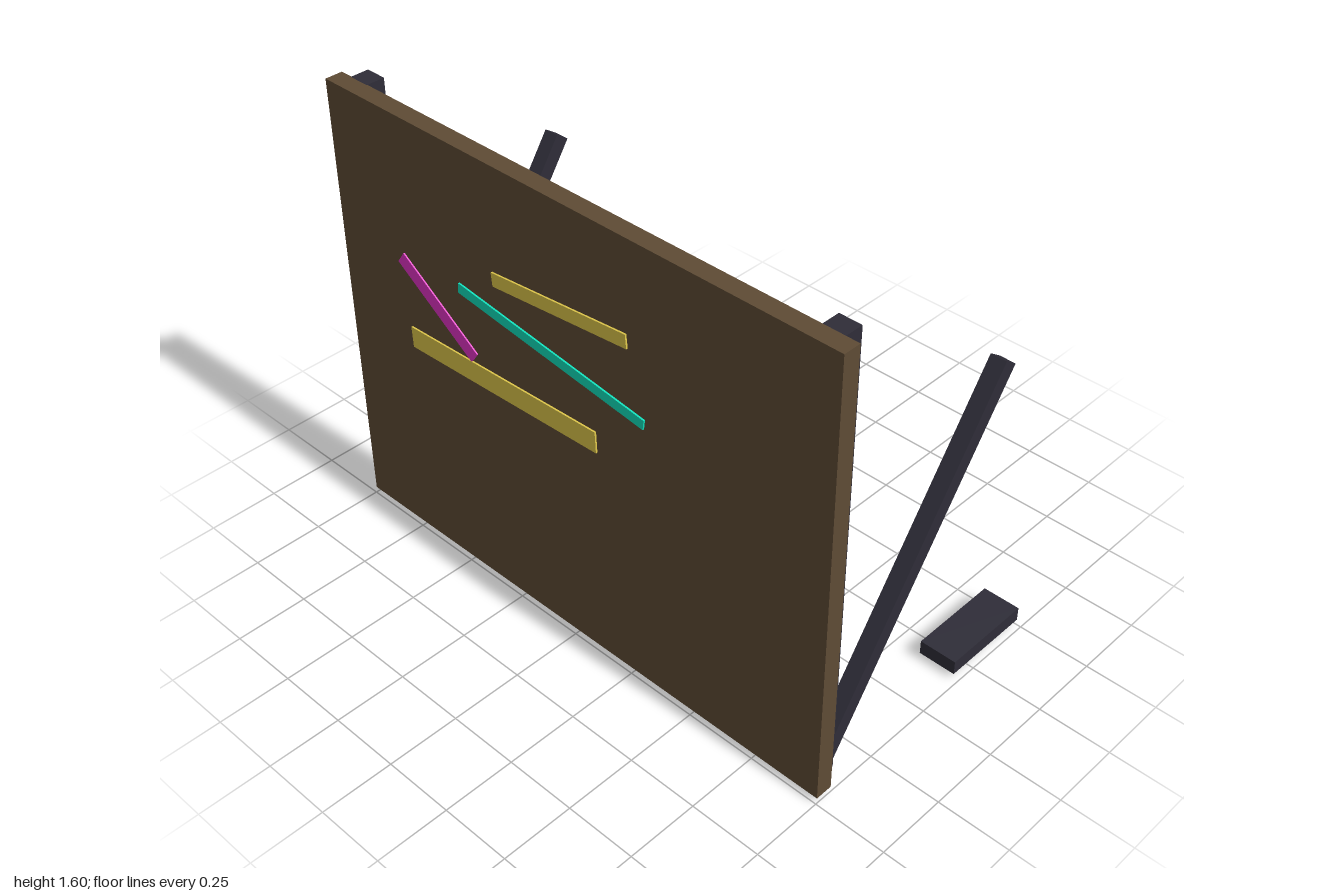
import * as THREE from 'three';

export function createModel() {
  const model = new THREE.Group();
  const mat = (color) => new THREE.MeshStandardMaterial({ color, flatShading: true });
  const wood = mat(0x5e4b35), metal = mat(0x2f2d38);
  const yellow = mat(0xdec64a), teal = mat(0x10dfbb), magenta = mat(0xe033c4);

  const box = (name, material, size, position) => {
    const mesh = new THREE.Mesh(new THREE.BoxGeometry(...size), material);
    mesh.name = name;
    mesh.position.set(...position);
    model.add(mesh);
    return mesh;
  };

  // Upright board
  box('panel', wood, [2, 1.58, 0.061], [0, 0.81, 0.4655]);

  // Painted strips on the front: x, y, length, height, tilt in degrees, front z
  const strips = [
    ['upperYellowStrip', yellow, -0.015, 1.243, 0.55, 0.047, 5.4, 0.502],
    ['tealStrip', teal, -0.063, 1.065, 0.774, 0.035, -7.3, 0.502],
    ['magentaStrip', magenta, -0.556, 0.99, 0.385, 0.05, -35, 0.501],
    ['lowerYellowStrip', yellow, -0.285, 0.829, 0.82, 0.075, 2.2, 0.502],
  ];
  for (const [name, material, x, y, length, height, tilt, front] of strips) {
    const strip = box(name, material, [length, height, 0.01], [x, y, front - 0.005]);
    strip.rotation.z = THREE.MathUtils.degToRad(tilt);
  }

  // Post, leaning brace and ground weight on each side
  for (const [side, s] of [['left', 1], ['right', -1]]) {
    const x = 0.917 * s;
    box(side + 'Post', metal, [0.075, 1.58, 0.065], [x, 0.81, 0.405]);
    const brace = box(side + 'Brace', metal, [0.056, 1.32, 0.056], [x, 0.56, 0.037]);
    brace.rotation.x = -0.6;
    box(side + 'Weight', metal, [0.132, 0.05, 0.33], [x, 0.045, -0.335]);
  }
  return model;
}
